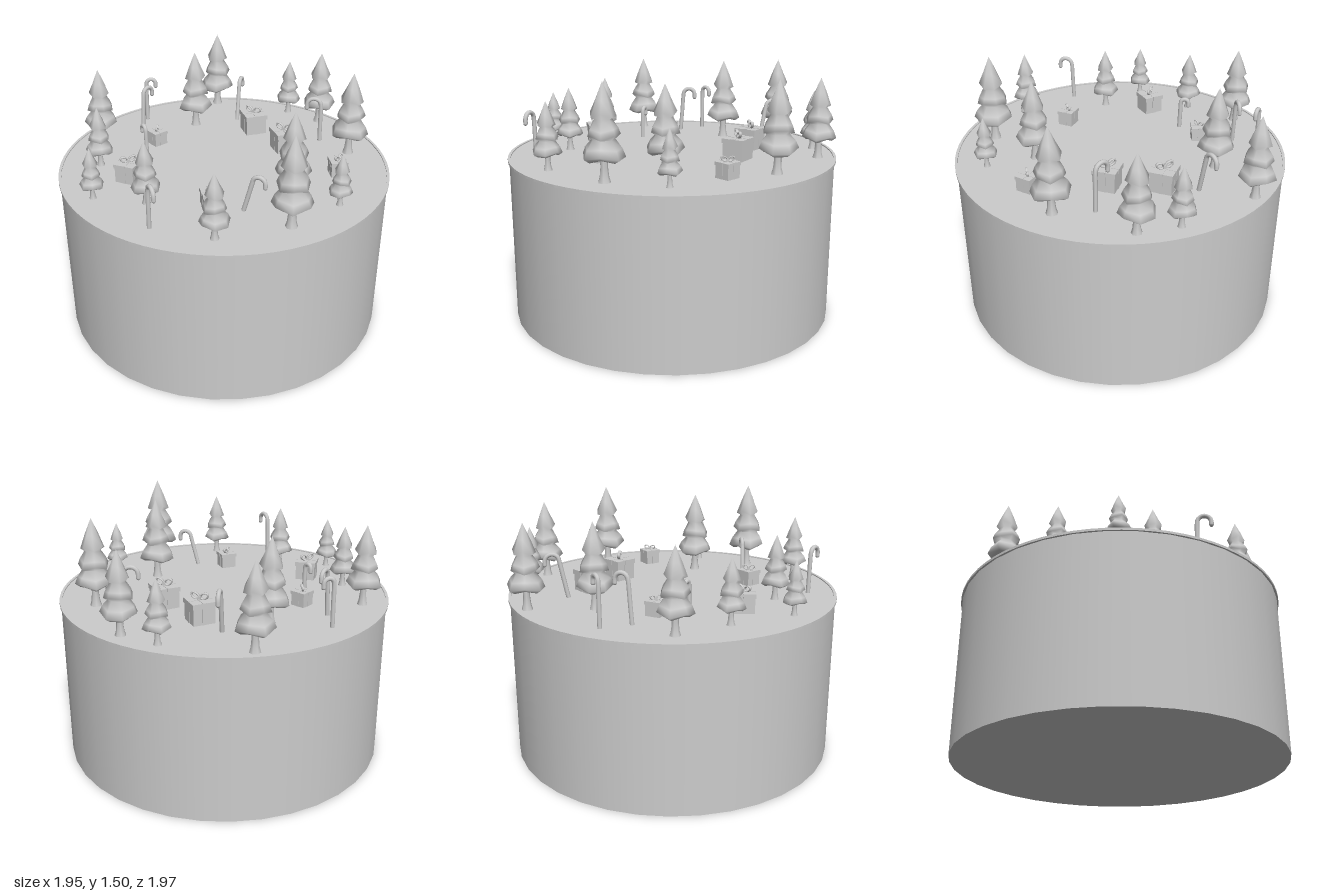
import * as THREE from 'three';
import { mergeVertices } from 'three/addons/utils/BufferGeometryUtils.js';

const GROUND = 0.97;
const SIDES = 7;

// Seven-sided tiered foliage; alternate skirt corners are lifted for a jagged hem
function foliageGeometry() {
  const profile = [
    [0.0, 0.135], [0.085, 0.122], [0.116, 0.142], [0.098, 0.185], [0.062, 0.232],
    [0.09, 0.25], [0.078, 0.285], [0.047, 0.338], [0.071, 0.357], [0.04, 0.435], [0.0, 0.53],
  ];
  const lift = [0, 1, 1, 0.6, 0, -1, -0.6, 0, 1, 0, 0];
  let geo = new THREE.LatheGeometry(profile.map(([r, y]) => new THREE.Vector2(r, y)), SIDES);
  const pos = geo.attributes.position;
  for (let i = 0; i <= SIDES; i++) {
    const side = i % SIDES;
    for (let j = 0; j < profile.length; j++) {
      const k = i * profile.length + j;
      pos.setY(k, pos.getY(k) + lift[j] * (side % 2 ? 0.013 : -0.008));
    }
  }
  geo.deleteAttribute('uv');
  geo.deleteAttribute('normal');
  geo = mergeVertices(geo, 1e-4);
  geo.computeVertexNormals();
  return geo;
}

function trunkGeometry() {
  const pts = [[0.036, -0.004], [0.026, 0.03], [0.021, 0.08], [0.022, 0.15]];
  return new THREE.LatheGeometry(pts.map(([r, y]) => new THREE.Vector2(r, y)), SIDES);
}

export function createModel() {
  const model = new THREE.Group();
  const stone = new THREE.MeshStandardMaterial({ color: 0xcccccc });
  stone.name = 'light grey';

  const add = (parent, name, geo, x = 0, y = 0, z = 0) => {
    const mesh = new THREE.Mesh(geo, stone);
    mesh.name = name;
    mesh.position.set(x, y, z);
    parent.add(mesh);
    return mesh;
  };
  const addGroup = (name, x, z) => {
    const group = new THREE.Group();
    group.name = name;
    group.position.set(x, GROUND, z);
    model.add(group);
    return group;
  };

  // Round base with a thin lip
  add(model, 'base', new THREE.CylinderGeometry(0.967, 0.967, 0.97, 36), 0, 0.485, 0.015);
  const lip = new THREE.Shape().absarc(0, 0, 0.976, 0, Math.PI * 2);
  lip.holes.push(new THREE.Path().absarc(0, 0, 0.96, 0, Math.PI * 2));
  const lipGeo = new THREE.ExtrudeGeometry(lip, { depth: 0.014, bevelEnabled: false, curveSegments: 36 });
  add(model, 'lip', lipGeo.rotateX(-Math.PI / 2), 0, 0.962, 0.015);

  // Trees: x, z, top height
  const foliage = foliageGeometry();
  const trunk = trunkGeometry();
  const trees = [
    [-0.12, -0.88, 1.46], [0.37, -0.77, 1.33], [0.57, -0.64, 1.44], [-0.23, -0.52, 1.465],
    [-0.79, -0.24, 1.44], [-0.73, 0.09, 1.34], [-0.69, 0.48, 1.28], [-0.385, 0.51, 1.35],
    [0.02, 0.83, 1.355], [0.41, 0.68, 1.5], [0.41, 0.31, 1.46], [0.67, 0.44, 1.28], [0.745, -0.195, 1.485],
  ];
  trees.forEach(([x, z, top], i) => {
    const tree = addGroup('tree', x, z);
    tree.scale.setScalar((top - GROUND) / 0.53);
    tree.rotation.y = i * 1.7;
    add(tree, 'trunk', trunk);
    add(tree, 'foliage', foliage);
  });

  // Presents: x, z, side, bow direction
  const presents = [
    [-0.44, -0.23, 0.095, 1.57], [-0.53, 0.25, 0.125, 0.47], [0.15, -0.46, 0.14, -0.4],
    [0.35, -0.22, 0.14, -0.36], [0.67, 0.08, 0.1, 1.0], [-0.035, 0.5, 0.1, 1.12],
  ];
  const loop = new THREE.TorusGeometry(0.13, 0.035, 6, 14);
  for (const [x, z, size, turn] of presents) {
    const gift = addGroup('present', x, z);
    gift.scale.setScalar(size);
    gift.rotation.y = turn - Math.PI / 4;
    add(gift, 'box', new THREE.BoxGeometry(0.92, 0.75, 0.92), 0, 0.375, 0);
    add(gift, 'lid', new THREE.BoxGeometry(1, 0.2, 1), 0, 0.8, 0);
    // Ribbons wrap the box and lid both ways
    for (const [w, d] of [[0.16, 1], [1, 0.16]]) {
      const wide = (v, extra) => (v === 1 ? v + extra : v);
      add(gift, 'boxRibbon', new THREE.BoxGeometry(wide(w, -0.05), 0.7, wide(d, -0.05)), 0, 0.35, 0);
      add(gift, 'lidRibbon', new THREE.BoxGeometry(wide(w, 0.03), 0.22, wide(d, 0.03)), 0, 0.806, 0);
    }
    const bow = new THREE.Group();
    bow.name = 'bow';
    bow.rotation.y = Math.PI / 4;
    bow.position.y = 0.92;
    gift.add(bow);
    for (const s of [-1, 1]) {
      const part = add(bow, 'bowLoop', loop, s * 0.19, 0.13, 0);
      part.scale.set(1.3, 0.85, 2);
      part.rotation.z = s * 0.5;
    }
    add(bow, 'knot', new THREE.BoxGeometry(0.13, 0.13, 0.16), 0, 0.06, 0);
  }

  // Candy canes: base x, z, hook tip x, z, height, lean share of the reach
  const canes = [
    [0.15, 0.54, 0.265, 0.575, 0.22, 0.4], [-0.33, 0.755, -0.285, 0.83, 0.27, 0.1],
    [0.035, -0.615, 0.06, -0.74, 0.26, 0.35], [0.575, -0.35, 0.485, -0.355, 0.28, 0.05],
    [-0.56, -0.4, -0.505, -0.475, 0.28, 0.2], [-0.56, -0.575, -0.5, -0.59, 0.28, 0.05],
    [-0.475, -0.05, -0.505, -0.09, 0.19, 0.1],
  ];
  for (const [x, z, tipX, tipZ, height, lean] of canes) {
    const cane = addGroup('candyCane', x, z);
    cane.rotation.y = Math.atan2(z - tipZ, tipX - x);
    const reach = Math.hypot(tipX - x, tipZ - z);
    const start = reach * lean;
    const r = (reach - start) / 2;
    const pts = [new THREE.Vector3(0, 0, 0), new THREE.Vector3(start * 0.5, (height - r) * 0.5, 0)];
    for (let i = 0; i <= 6; i++) {
      const a = Math.PI * (1 - i / 6);
      pts.push(new THREE.Vector3(start + r + Math.cos(a) * r, height - r + Math.sin(a) * r, 0));
    }
    pts.push(new THREE.Vector3(reach, height - r - 0.02, 0));
    const path = new THREE.CatmullRomCurve3(pts);
    add(cane, 'stick', new THREE.TubeGeometry(path, 28, 0.013, 8));
    // Rounded tip closes the hook
    add(cane, 'tip', new THREE.SphereGeometry(0.013, 8, 6), reach, height - r - 0.02, 0);
  }
  return model;
}
